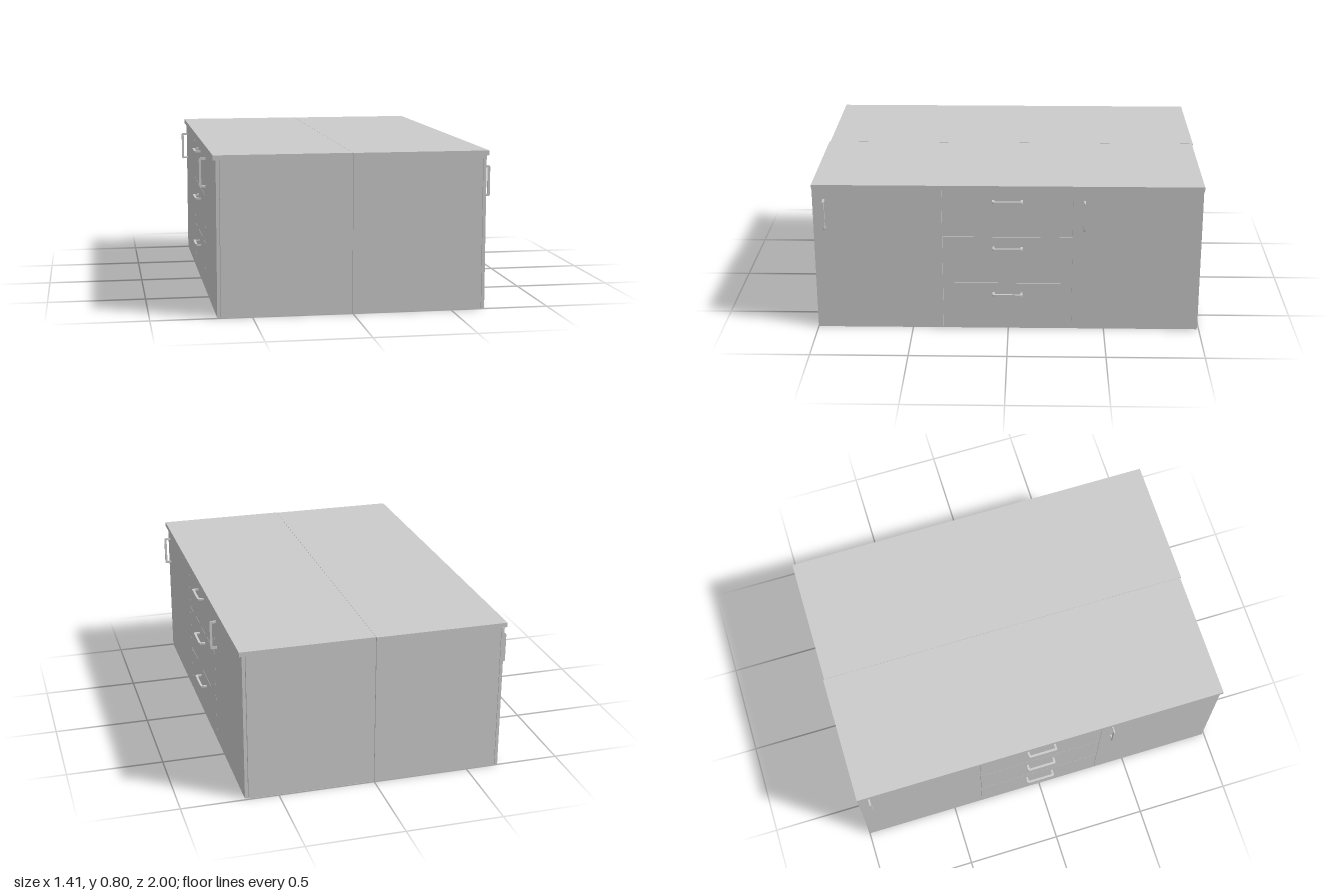
import * as THREE from 'three';

const material = new THREE.MeshStandardMaterial({ color: 0xcccccc });

function box(name, x0, x1, y0, y1, z0, z1) {
  const mesh = new THREE.Mesh(new THREE.BoxGeometry(x1 - x0, y1 - y0, z1 - z0), material);
  mesh.name = name;
  mesh.position.set((x0 + x1) / 2, (y0 + y1) / 2, (z0 + z1) / 2);
  return mesh;
}

// Flat bow handle: a bracket outline with rounded outer and inner corners
function handleGeometry() {
  const h = 0.078, d = 0.035, r = 0.01, legs = 0.011, bar = 0.012, ri = 0.005;
  const s = new THREE.Shape();
  s.moveTo(0, -h);
  s.lineTo(d - r, -h);
  s.quadraticCurveTo(d, -h, d, -h + r);
  s.lineTo(d, h - r);
  s.quadraticCurveTo(d, h, d - r, h);
  s.lineTo(0, h);
  s.lineTo(0, h - legs);
  s.lineTo(d - bar - ri, h - legs);
  s.quadraticCurveTo(d - bar, h - legs, d - bar, h - legs - ri);
  s.lineTo(d - bar, -h + legs + ri);
  s.quadraticCurveTo(d - bar, -h + legs, d - bar - ri, -h + legs);
  s.lineTo(0, -h + legs);
  s.closePath();
  const t = 0.009;
  const geometry = new THREE.ExtrudeGeometry(s, { depth: t, bevelEnabled: false, curveSegments: 5 });
  return geometry.translate(0, 0, -t / 2);
}

// One cabinet whose doors and drawers face +x
function makeCabinet(name, handleGeo) {
  const cabinet = new THREE.Group();
  cabinet.name = name;
  const front = 0.672, back = 0.656, gap = 0.002, top = 0.774;

  cabinet.add(box('carcass', 0.0005, 0.654, 0, 0.776, -0.997, 0.997));
  cabinet.add(box('worktop', 0.0005, 0.686, 0.776, 0.8, -0.997, 0.997));

  const addHandle = (label, y, z, horizontal) => {
    const handle = new THREE.Mesh(handleGeo, material);
    handle.name = label;
    handle.position.set(front, y, z);
    if (horizontal) handle.rotation.x = Math.PI / 2;
    cabinet.add(handle);
  };

  // Doors at both ends
  cabinet.add(box('frontDoor', back, front, 0, top, 0.335 + gap, 0.997));
  addHandle('frontDoorHandle', 0.641, 0.938, false);
  cabinet.add(box('rearDoor', back, front, 0, top, -0.992, -0.332 - gap));
  addHandle('rearDoorHandle', 0.641, -0.393, false);

  // Stack of three drawers in the middle
  const rows = 3, pitch = top / rows;
  [0.2, 0.458, 0.716].forEach((handleY, i) => {
    const y0 = i * pitch + (i > 0 ? gap / 2 : 0);
    const y1 = (i + 1) * pitch - (i < rows - 1 ? gap / 2 : 0);
    cabinet.add(box('drawer' + (i + 1), back, front, y0, y1, -0.332, 0.335));
    addHandle('drawerHandle' + (i + 1), handleY, 0, true);
  });
  return cabinet;
}

export function createModel() {
  const model = new THREE.Group();
  model.name = 'islandCabinet';
  const handleGeo = handleGeometry();

  // Two identical cabinets back to back, slightly staggered along z
  const left = makeCabinet('leftCabinet', handleGeo);
  left.position.z = 0.003;
  const right = makeCabinet('rightCabinet', handleGeo);
  right.rotation.y = Math.PI;
  right.position.z = -0.003;
  model.add(left, right);
  return model;
}
